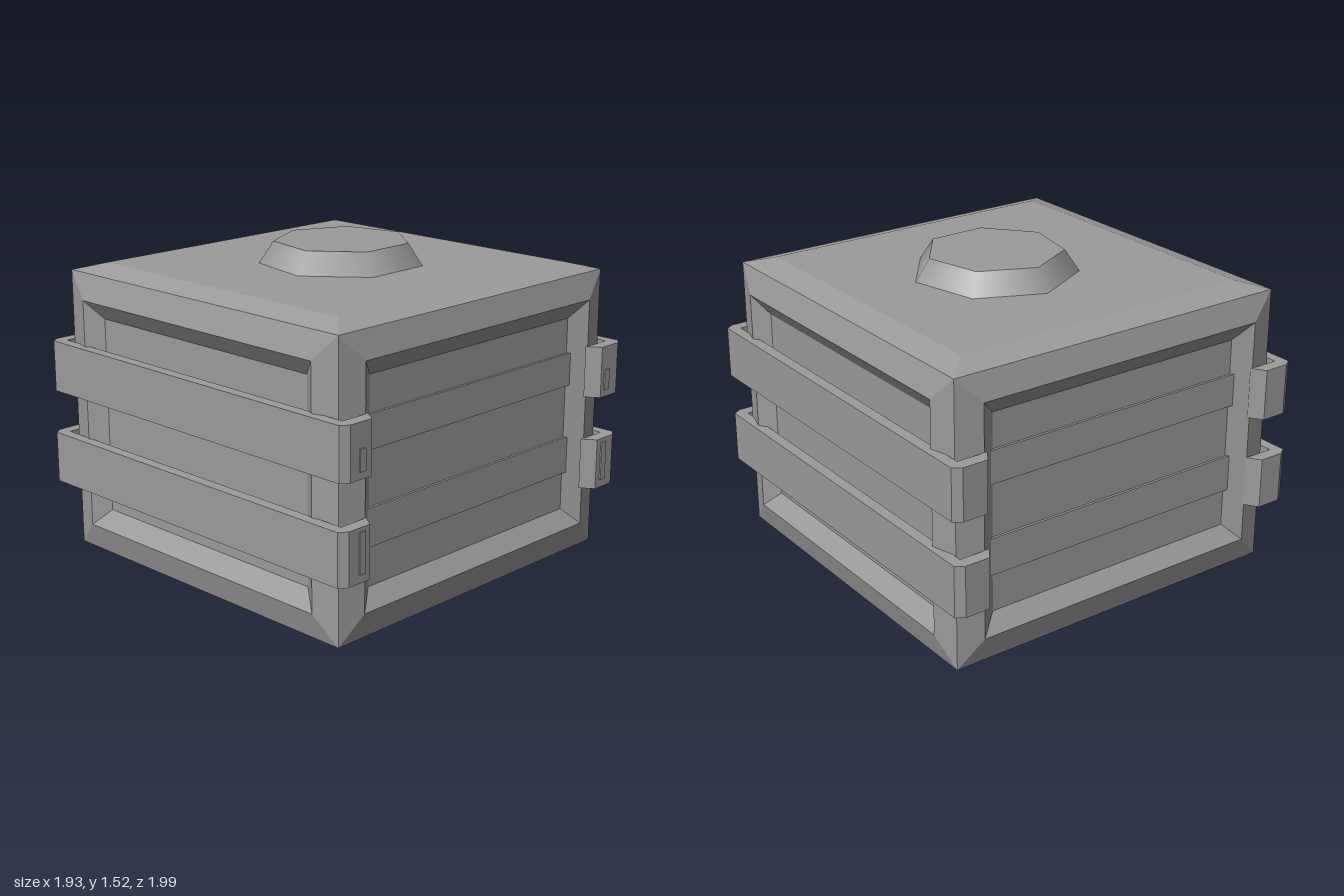
import * as THREE from 'three';

const flat = new THREE.MeshStandardMaterial({ color: 0x9b9b9b, flatShading: true });
const smooth = new THREE.MeshStandardMaterial({ color: 0x9b9b9b });

function addMesh(parent, name, geometry, x = 0, y = 0, z = 0, material = flat) {
  const mesh = new THREE.Mesh(geometry, material);
  mesh.name = name;
  mesh.position.set(x, y, z);
  parent.add(mesh);
  return mesh;
}

// Rectangle of four corners on a plane facing +z, counter-clockwise
const ring = (half, low, high, depth) => [
  [-half, low, depth], [half, low, depth], [half, high, depth], [-half, high, depth],
];

// Flat-shaded skin joining nested rings, with the last one capped
function ringSkin(rings) {
  const points = [];
  const quad = (a, b, c, d) => points.push(...a, ...b, ...c, ...a, ...c, ...d);
  for (let r = 0; r < rings.length - 1; r++) {
    for (let i = 0; i < 4; i++) {
      const j = (i + 1) % 4;
      quad(rings[r][i], rings[r][j], rings[r + 1][j], rings[r + 1][i]);
    }
  }
  quad(...rings[rings.length - 1]);
  const geometry = new THREE.BufferGeometry();
  geometry.setAttribute('position', new THREE.Float32BufferAttribute(points, 3));
  geometry.computeVertexNormals();
  return geometry;
}

// C-shaped strap wrapping one side, traced in plan and extruded upwards
function strapGeometry(height) {
  const outer = [[0.75, 0.925], [0.795, 0.99], [0.92, 0.99], [0.96, 0.963]];
  const inner = [[0.905, 0.928], [0.80, 0.928]];
  const flip = (list) => list.map(([x, z]) => [x, -z]).reverse();
  const outline = [...outer, ...flip(outer), ...flip(inner), ...inner];
  const shape = new THREE.Shape(outline.map(([x, z]) => new THREE.Vector2(x, -z)));
  const geometry = new THREE.ExtrudeGeometry(shape, { depth: height, bevelEnabled: false });
  return geometry.rotateX(-Math.PI / 2);
}

export function createModel() {
  const model = new THREE.Group();
  model.name = 'strappedCrate';

  // Crate body: four framed sides with sunken panels, bevelled lid, flat base
  const body = new THREE.Group();
  body.name = 'body';
  body.position.set(0.005, 0, -0.005);
  model.add(body);
  const side = ringSkin([
    ring(0.89, 0, 1.38, 0.89),
    ring(0.765, 0.13, 1.255, 0.925),
    ring(0.68, 0.213, 1.17, 0.865),
  ]);
  ['front', 'left', 'back', 'right'].forEach((name, i) => {
    addMesh(body, name + 'Side', side).rotation.y = i * Math.PI / 2;
  });
  const lid = ringSkin([ring(0.89, -0.89, 0.89, 1.38), ring(0.77, -0.77, 0.77, 1.415)]);
  addMesh(body, 'lid', lid.rotateX(-Math.PI / 2));
  addMesh(body, 'base', new THREE.PlaneGeometry(1.78, 1.78).rotateX(Math.PI / 2));

  // Seven-sided cap on the lid, with softly shaded flanks
  const cap = new THREE.CylinderGeometry(0.328, 0.398, 0.105, 7, 1, false, Math.PI + 0.02);
  addMesh(model, 'cap', cap, 0.046, 1.467, -0.008, smooth);

  // Two levels of straps, with shallow slats across the panels and thin front buckles
  const levels = [
    { name: 'lower', y: 0.32, shift: -0.005, slatY: 0.49, slatH: 0.18, pinY: 0.455, pinH: 0.19 },
    { name: 'upper', y: 0.78, shift: 0.003, slatY: 0.92, slatH: 0.16, pinY: 0.865, pinH: 0.1 },
  ];
  for (const level of levels) {
    const strap = strapGeometry(0.25);
    for (const s of [1, -1]) {
      const sideName = s > 0 ? 'Left' : 'Right';
      addMesh(model, level.name + 'Strap' + sideName, strap, level.shift, level.y, -0.004)
        .rotation.y = s > 0 ? 0 : Math.PI;
      addMesh(model, level.name + 'Buckle' + sideName,
        new THREE.BoxGeometry(0.036, level.pinH, 0.03), s * 0.843 - 0.005, level.pinY, 0.978);
      addMesh(model, level.name + (s > 0 ? 'FrontSlat' : 'BackSlat'),
        new THREE.BoxGeometry(1.395, level.slatH, 0.04), 0.005, level.slatY, s * 0.857 - 0.005);
    }
  }
  return model;
}
